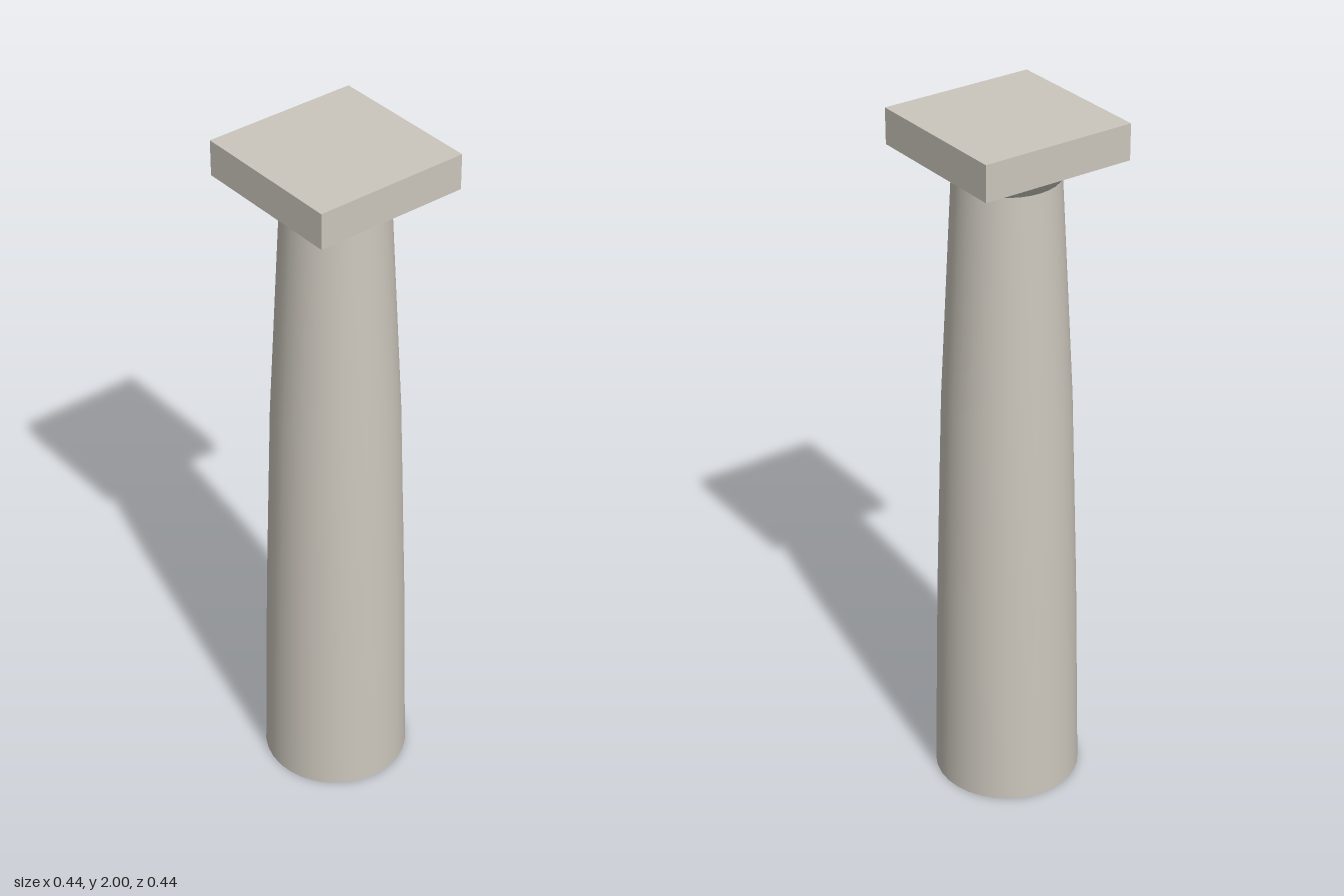
import * as THREE from 'three';

export function createModel() {
  const column = new THREE.Group();
  column.name = 'column';

  const stone = new THREE.MeshStandardMaterial({ color: 0xcbc6bc, side: THREE.DoubleSide });
  stone.name = 'pale stone';

  // Turns a [radius, height] profile into a round, open-ended part
  const turned = (name, profile) => {
    const points = profile.map(([r, y]) => new THREE.Vector2(r, y));
    const mesh = new THREE.Mesh(new THREE.LatheGeometry(points, 32), stone);
    mesh.name = name;
    mesh.position.set(-0.003, 0, -0.003);
    column.add(mesh);
  };

  // Hollow shaft, tapering with a slight swelling
  turned('shaft', [[0.206, 0], [0.194, 0.6], [0.176, 1.2], [0.143, 1.84]]);

  // Flared cushion under the slab
  turned('echinus', [[0.143, 1.84], [0.2, 1.9]]);

  // Square slab on top
  const abacus = new THREE.Mesh(new THREE.BoxGeometry(0.443, 0.1, 0.443), stone);
  abacus.name = 'abacus';
  abacus.position.y = 1.95;
  column.add(abacus);

  return column;
}
